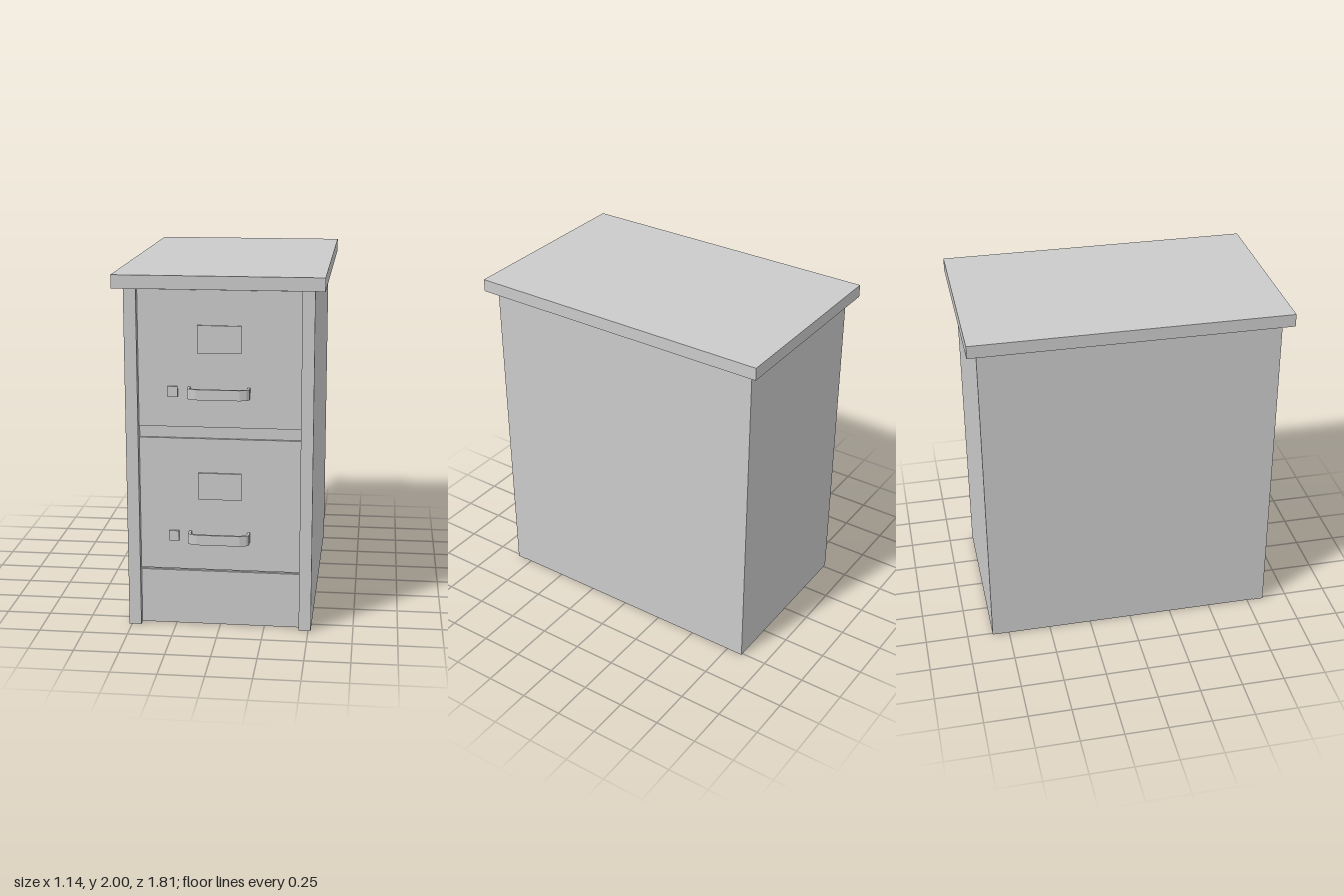
import * as THREE from 'three';

const material = new THREE.MeshStandardMaterial({ color: 0xcccccc, flatShading: true });

// Box given by its minimum and maximum on each axis
function box(name, [x0, x1], [y0, y1], [z0, z1]) {
  const mesh = new THREE.Mesh(new THREE.BoxGeometry(x1 - x0, y1 - y0, z1 - z0), material);
  mesh.name = name;
  mesh.position.set((x0 + x1) / 2, (y0 + y1) / 2, (z0 + z1) / 2);
  return mesh;
}

const FACE = 0.81;   // front plane of the drawers
const RAIL = 0.795;  // front plane of the carcass between them
const OPENING = 0.447;

// Bow handle: a bent strip, drawn in plan and extruded upwards
function handle(y0, y1) {
  const depth = 0.885 - FACE, t = 0.014;
  const outer = [[-0.17, 0], [-0.17, depth - 0.025], [-0.157, depth - 0.012], [-0.12, depth]];
  const inner = [[-0.17 + t, 0], [-0.17 + t, depth - 0.031], [-0.147, depth - 0.025], [-0.118, depth - t]];
  const mirror = (pts) => pts.map(([x, z]) => [-x, z]).reverse();
  const outline = [...outer, ...mirror(outer), ...mirror(inner).reverse(), ...inner.slice().reverse()];
  const shape = new THREE.Shape(
    [...outer, ...mirror(outer), ...inner.map(([x, z]) => [-x, z]), ...inner.slice().reverse()]
      .slice(0, outline.length)
      .map(([x, z]) => new THREE.Vector2(x, -z))
  );
  const geometry = new THREE.ExtrudeGeometry(shape, { depth: y1 - y0, bevelEnabled: false });
  geometry.rotateX(-Math.PI / 2);
  const mesh = new THREE.Mesh(geometry, material);
  mesh.name = 'handle';
  mesh.position.set(-0.003, y0, FACE);
  return mesh;
}

// Drawer front with label plate, lock and handle
function drawer(name, bottom, top, handleY) {
  const group = new THREE.Group();
  group.name = name;
  group.add(
    box('drawerFront', [-OPENING, OPENING], [bottom, top], [RAIL - 0.02, FACE]),
    box('labelPlate', [-0.12, 0.12], [handleY + 0.245, handleY + 0.397], [FACE - 0.005, FACE + 0.01]),
    box('lock', [-0.285, -0.23], [handleY, handleY + 0.058], [FACE - 0.005, FACE + 0.012]),
    handle(handleY, handleY + 0.058)
  );
  return group;
}

export function createModel() {
  const model = new THREE.Group();
  model.name = 'filingCabinet';

  // Carcass, side stiles and overhanging top
  model.add(box('carcass', [-0.515, 0.515], [0.003, 1.93], [-0.85, RAIL]));
  for (const side of [-1, 1]) {
    const xs = [side * OPENING, side * 0.515].sort((a, b) => a - b);
    model.add(box(side < 0 ? 'rightStile' : 'leftStile', xs, [0, 1.93], [RAIL - 0.01, 0.85]));
  }
  model.add(box('topPanel', [-0.57, 0.57], [1.927, 2], [-0.905, 0.905]));

  // Plinth and the two drawers
  model.add(box('plinth', [-OPENING, OPENING], [0.003, 0.32], [RAIL - 0.02, FACE]));
  model.add(drawer('lowerDrawer', 0.33, 1.09, 0.498));
  model.add(drawer('upperDrawer', 1.155, 1.912, 1.324));

  return model;
}
